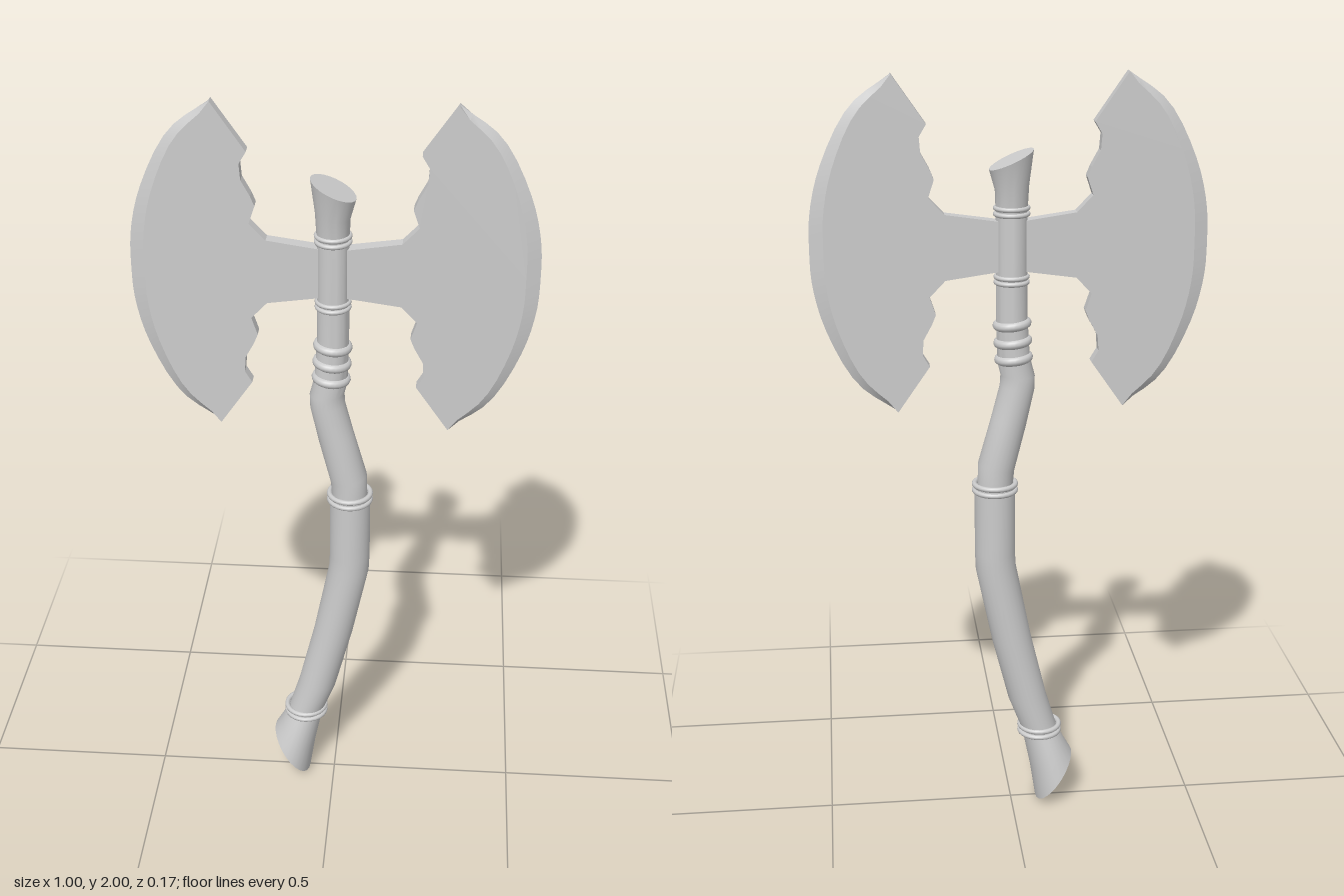
import * as THREE from 'three';
import { toCreasedNormals, mergeGeometries } from 'three/addons/utils/BufferGeometryUtils.js';

const SIDES = 24;
const MID = 1.575; // height of the blade's centre line
const material = new THREE.MeshStandardMaterial({ color: 0xcccccc });

function add(parent, geometry, name) {
  const mesh = new THREE.Mesh(geometry, material);
  mesh.name = name;
  parent.add(mesh);
  return mesh;
}

function fromArrays(positions, index) {
  const g = new THREE.BufferGeometry();
  g.setAttribute('position', new THREE.Float32BufferAttribute(positions, 3));
  g.setIndex(index);
  return g;
}

// Loft through elliptical rings given as [leftX, leftY, rightX, rightY, zRadius], bottom to top
function loft(rings, capBottom = false, capTop = false) {
  const pos = [], idx = [];
  for (const [xl, yl, xr, yr, rz] of rings) {
    for (let j = 0; j < SIDES; j++) {
      const a = (j / SIDES) * Math.PI * 2, c = Math.cos(a);
      pos.push((xl + xr) / 2 + (c * (xr - xl)) / 2, (yl + yr) / 2 + (c * (yr - yl)) / 2, rz * Math.sin(a));
    }
  }
  for (let i = 0; i < rings.length - 1; i++) {
    for (let j = 0; j < SIDES; j++) {
      const k = (j + 1) % SIDES, a = i * SIDES, b = a + SIDES;
      idx.push(a + j, b + j, a + k, b + j, b + k, a + k);
    }
  }
  const cap = (i, up) => {
    const [xl, yl, xr, yr] = rings[i], centre = pos.length / 3, a = i * SIDES;
    pos.push((xl + xr) / 2, (yl + yr) / 2, 0);
    for (let j = 0; j < SIDES; j++) {
      const k = (j + 1) % SIDES;
      idx.push(centre, a + (up ? k : j), a + (up ? j : k));
    }
  };
  if (capBottom) cap(0, false);
  if (capTop) cap(rings.length - 1, true);
  return toCreasedNormals(fromArrays(pos, idx), 0.7);
}

// One blade on the +x side: a flat plate and a sharpened outer edge
function bladeGeometry() {
  const half = [[0.29, 2], [0.39, 1.925], [0.465, 1.785], [0.495, 1.67]];
  const mirrorY = ([x, y]) => [x, 2 * MID - y];
  const toVec = ([x, y]) => new THREE.Vector3(x, y, 0);
  const arcPoints = [...half, [0.5, MID], ...half.map(mirrorY).reverse()].map(toVec);
  const N = 28;
  const edge = new THREE.CatmullRomCurve3(arcPoints).getPoints(N);
  const inner = edge.map((p, i) => {
    const width = 0.035 * Math.sqrt(Math.max(0, Math.sin((Math.PI * i) / N)));
    const inward = new THREE.Vector3(0.1, MID, 0).sub(p).normalize();
    return p.clone().addScaledVector(inward, width);
  });
  const thickness = (x) => 0.019 - 0.013 * x;

  // Notched back of the blade, from the shaft out to the upper horn
  const notches = [[0, 1.638], [0.04, 1.64], [0.165, 1.658], [0.205, 1.7], [0.19, 1.745],
    [0.2, 1.77], [0.222, 1.81], [0.225, 1.85], [0.207, 1.88]];
  const outline = [...notches, ...inner.map((p) => [p.x, p.y]), ...notches.map(mirrorY).reverse()];
  const shape = new THREE.Shape(outline.map(([x, y]) => new THREE.Vector2(x, y)));
  const plate = new THREE.ExtrudeGeometry(shape, { depth: 2, bevelEnabled: false });
  plate.translate(0, 0, -1);
  const p = plate.attributes.position;
  for (let i = 0; i < p.count; i++) p.setZ(i, Math.sign(p.getZ(i)) * thickness(p.getX(i)));
  plate.computeVertexNormals();
  plate.deleteAttribute('uv');

  // Sharpened edge: front inset, rim, back inset
  const pos = [], idx = [];
  edge.forEach((e, i) => {
    const q = inner[i], t = thickness(q.x);
    pos.push(q.x, q.y, t, e.x, e.y, 0, q.x, q.y, -t);
    if (i === N) return;
    for (let c = 0; c < 2; c++) {
      const a = i * 3 + c, b = a + 3;
      idx.push(a, b, a + 1, b, b + 1, a + 1);
    }
  });
  const bevel = toCreasedNormals(fromArrays(pos, idx), 0.7);
  return mergeGeometries([plate.index ? plate.toNonIndexed() : plate, bevel]);
}

export function createModel() {
  const axe = new THREE.Group();
  axe.name = 'doubleAxe';

  // Curved handle
  add(axe, loft([
    [-0.17, 0.14, -0.07, 0.0, 0.084],
    [-0.15, 0.175, -0.055, 0.1, 0.073],
    [-0.128, 0.22, -0.033, 0.21, 0.055],
  ], true), 'pommel');
  add(axe, loft([
    [-0.128, 0.22, -0.033, 0.21, 0.055],
    [-0.098, 0.32, 0.005, 0.31, 0.055],
    [-0.055, 0.5, 0.05, 0.49, 0.056],
    [-0.014, 0.71, 0.093, 0.7, 0.056],
    [-0.012, 0.75, 0.095, 0.75, 0.056],
    [-0.012, 0.935, 0.095, 0.935, 0.056],
  ], false, true), 'lowerGrip');
  add(axe, loft([
    [-0.006, 0.935, 0.087, 0.935, 0.048],
    [-0.01, 0.98, 0.085, 1.0, 0.048],
    [-0.04, 1.1, 0.05, 1.125, 0.046],
    [-0.062, 1.2, 0.028, 1.21, 0.043],
    [-0.063, 1.235, 0.026, 1.24, 0.042],
    [-0.05, 1.285, 0.034, 1.275, 0.041],
    [-0.043, 1.4, 0.037, 1.39, 0.04],
    [-0.043, 1.49, 0.037, 1.49, 0.04],
    [-0.043, 1.66, 0.037, 1.66, 0.04],
  ]), 'upperShaft');
  add(axe, loft([
    [-0.043, 1.66, 0.037, 1.66, 0.04],
    [-0.047, 1.73, 0.039, 1.715, 0.046],
    [-0.058, 1.815, 0.053, 1.765, 0.062],
  ], false, true), 'flaredTop');

  // Bands and cord wraps: [x, y, ring radius, tube radius, tilt]
  const bands = [
    [-0.08, 0.209, 0.054, 0.007, 0], [-0.08, 0.226, 0.054, 0.007, 0],
    [0.041, 0.925, 0.054, 0.007, 0], [0.041, 0.942, 0.054, 0.007, 0],
    [-0.003, 1.482, 0.04, 0.006, 0], [-0.003, 1.496, 0.04, 0.006, 0],
    [-0.003, 1.655, 0.041, 0.006, 0], [-0.003, 1.67, 0.041, 0.006, 0],
    [-0.008, 1.283, 0.038, 0.012, -0.1], [-0.006, 1.327, 0.038, 0.012, -0.1],
    [-0.004, 1.373, 0.038, 0.012, -0.1],
  ];
  for (const [x, y, r, tube, tilt] of bands) {
    const ring = new THREE.TorusGeometry(r, tube, 10, SIDES).rotateX(Math.PI / 2).rotateZ(tilt);
    add(axe, ring, tilt ? 'cordWrap' : 'band').position.set(x, y, 0);
  }

  // Matching blades on both sides
  const blade = bladeGeometry();
  add(axe, blade, 'leftBlade');
  add(axe, blade, 'rightBlade').rotation.y = Math.PI;

  return axe;
}
